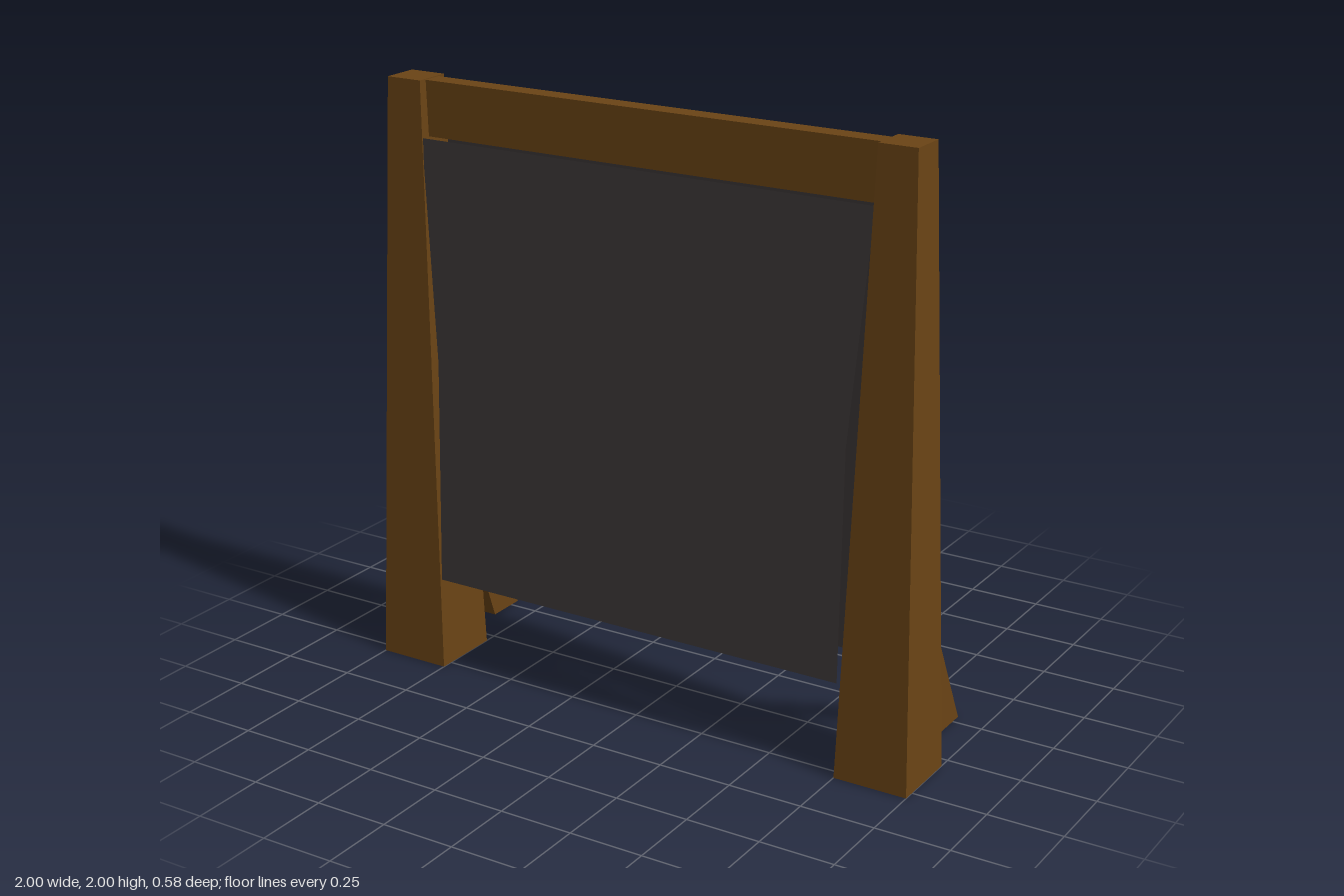
import * as THREE from 'three';

const wood = new THREE.MeshStandardMaterial({ color: 0x6b4415, flatShading: true });
const cloth = new THREE.MeshStandardMaterial({ color: 0x3d3838, flatShading: true, side: THREE.DoubleSide });
const MID_Z = 0.166;

function mesh(name, geometry, material) {
  const m = new THREE.Mesh(geometry, material);
  m.name = name;
  return m;
}

// Square post, tapered evenly toward the top
function post(side) {
  const g = new THREE.BoxGeometry(0.25, 2, 0.247);
  const p = g.attributes.position;
  for (let i = 0; i < p.count; i++) {
    if (p.getY(i) > 0) p.setXYZ(i, p.getX(i) * 0.51, 1, p.getZ(i) * 0.51);
  }
  const m = mesh(side > 0 ? 'leftPost' : 'rightPost', g, wood);
  m.position.set(side * 0.875, 1, MID_Z);
  return m;
}

// Slanted rear brace, narrowing toward the post
function brace(side) {
  // shape x runs along -z
  const s = new THREE.Shape([[0.15, 0], [0.29, 0], [-0.07, 0.735], [-0.085, 0.72], [-0.066, 0.61]]
    .map(([x, y]) => new THREE.Vector2(x, y)));
  const g = new THREE.ExtrudeGeometry(s, { depth: 0.06, bevelEnabled: false });
  g.translate(0, 0, -0.03).rotateY(Math.PI / 2);
  const m = mesh(side > 0 ? 'leftBrace' : 'rightBrace', g, wood);
  m.position.x = side > 0 ? 0.868 : -0.884;
  return m;
}

// Hanging sheet: the upper half narrows, the lower half hangs straight
function sheet(dir) {
  const rows = [[1.815, 0.81, 0.064], [1.08, 0.75, 0.096], [0.32, 0.75, 0.118]];
  const g = new THREE.PlaneGeometry(2, 1, 1, 2);
  const p = g.attributes.position;
  for (let i = 0; i < p.count; i++) {
    const [y, halfWidth, z] = rows[Math.floor(i / 2)];
    p.setXYZ(i, Math.sign(p.getX(i)) * halfWidth * dir, y, MID_Z + dir * z);
  }
  g.computeVertexNormals();
  return mesh(dir > 0 ? 'frontSheet' : 'backSheet', g, cloth);
}

export function createModel() {
  const group = new THREE.Group();
  group.name = 'hangingScreen';
  for (const side of [1, -1]) group.add(post(side), brace(side), sheet(side));

  // Crossbeam between the posts
  const beam = mesh('crossbeam', new THREE.BoxGeometry(1.635, 0.182, 0.068), wood);
  beam.position.set(0, 1.906, 0.165);
  group.add(beam);
  return group;
}
